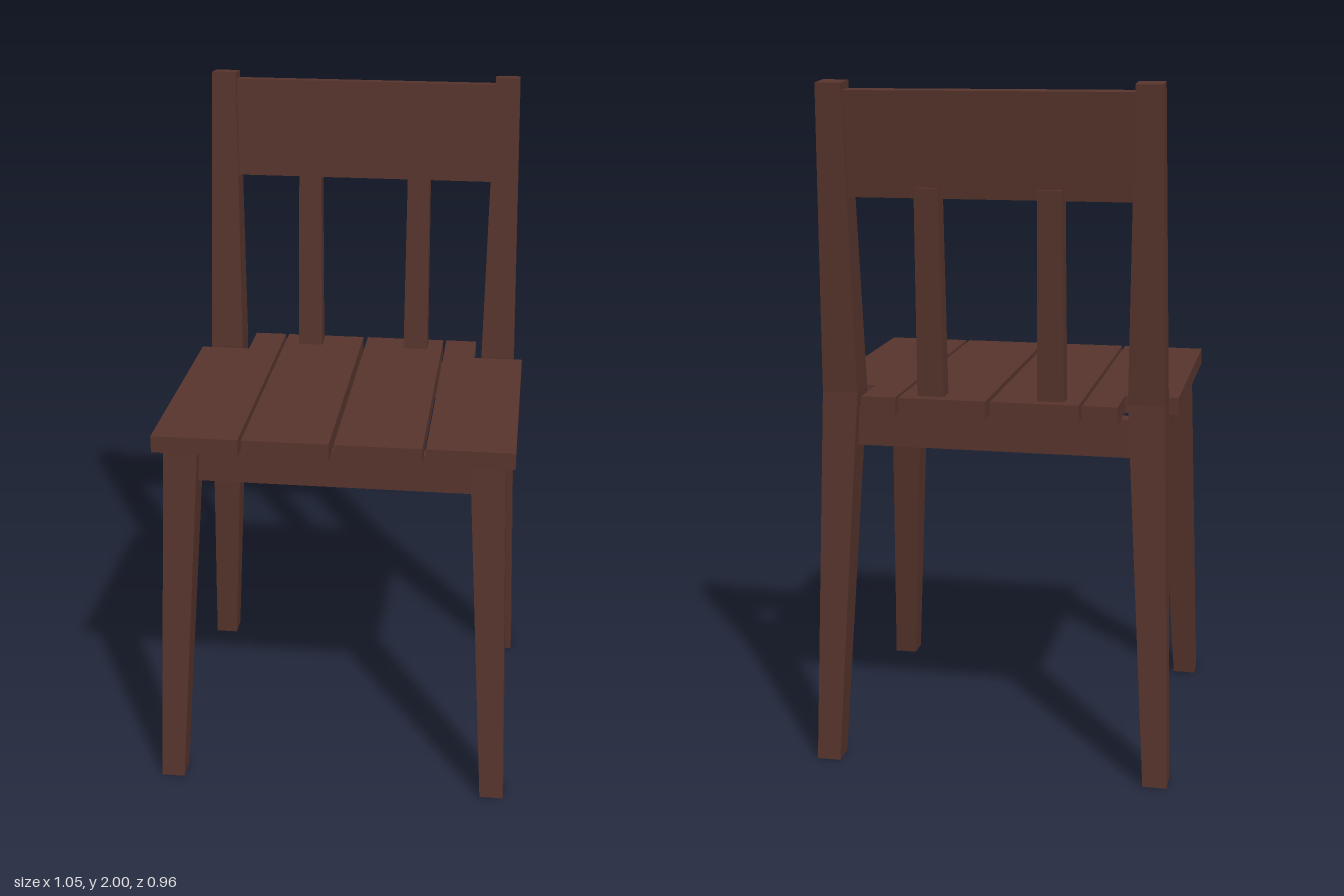
import * as THREE from 'three';

// A post with rectangular cross-sections [y, x0, x1, z0, z1], listed bottom to top.
function post(sections, topDrop = 0) {
  const n = sections.length - 1;
  const box = new THREE.BoxGeometry(1, 1, 1, 1, n, 1);
  const p = box.attributes.position;
  for (let i = 0; i < p.count; i++) {
    const k = Math.round((p.getY(i) + 0.5) * n);
    const [y, x0, x1, z0, z1] = sections[k];
    const back = p.getZ(i) < 0;
    p.setXYZ(i, p.getX(i) < 0 ? x0 : x1, k === n && back ? y - topDrop : y, back ? z0 : z1);
  }
  const geometry = box.toNonIndexed();
  geometry.computeVertexNormals();
  return geometry;
}

const block = (x0, x1, y0, y1, z0, z1) => post([[y0, x0, x1, z0, z1], [y1, x0, x1, z0, z1]]);

// The same sections reflected across x = 0.
const mirror = (sections) => sections.map(([y, x0, x1, z0, z1]) => [y, -x1, -x0, z0, z1]);

export function createModel() {
  const chair = new THREE.Group();
  chair.name = 'chair';
  const wood = new THREE.MeshStandardMaterial({ color: 0x58352d });
  wood.name = 'dark brown wood';

  const add = (name, geometry) => {
    const mesh = new THREE.Mesh(geometry, wood);
    mesh.name = name;
    chair.add(mesh);
  };
  const addPair = (name, sections, drop = 0) => {
    add('left' + name, post(sections, drop));
    add('right' + name, post(mirror(sections), drop));
  };

  // Splayed front legs
  addPair('FrontLeg', [
    [0, 0.455, 0.525, 0.408, 0.478],
    [1.075, 0.392, 0.492, 0.298, 0.398],
  ]);

  // Back legs bend at the seat and carry on as backrest posts
  addPair('BackLeg', [
    [0, 0.455, 0.525, -0.478, -0.407],
    [1.12, 0.39, 0.493, -0.43, -0.33],
    [2, 0.403, 0.477, -0.477, -0.405],
  ], 0.007);

  // Rails under the seat
  add('frontRail', block(-0.405, 0.405, 0.96, 1.07, 0.318, 0.368));
  add('backRail', block(-0.405, 0.405, 0.96, 1.07, -0.402, -0.352));
  addPair('SideRail', [[0.96, 0.42, 0.47, -0.345, 0.31], [1.07, 0.42, 0.47, -0.345, 0.31]]);

  // Inner seat planks
  addPair('InnerPlank', [[1.07, 0.007, 0.258, -0.47, 0.43], [1.12, 0.007, 0.258, -0.47, 0.43]]);

  // Outer seat planks, notched around the back legs
  for (const s of [1, -1]) {
    const outline = [[0.268, -0.43], [0.52, -0.43], [0.52, 0.317], [0.367, 0.317], [0.367, 0.47], [0.268, 0.47]];
    const shape = new THREE.Shape(outline.map(([x, y]) => new THREE.Vector2(s * x, y)));
    const plank = new THREE.ExtrudeGeometry(shape, { depth: 0.05, bevelEnabled: false });
    plank.rotateX(-Math.PI / 2).translate(0, 1.07, 0);
    add(s > 0 ? 'leftOuterPlank' : 'rightOuterPlank', plank);
  }

  // Leaning backrest board
  add('backrestBoard', post([
    [1.68, -0.408, 0.408, -0.44, -0.389],
    [1.977, -0.408, 0.408, -0.467, -0.416],
  ], 0.004));

  // Two slats between the seat and the board
  addPair('BackSlat', [
    [1.115, 0.134, 0.211, -0.435, -0.379],
    [1.71, 0.138, 0.207, -0.461, -0.405],
  ]);

  return chair;
}
